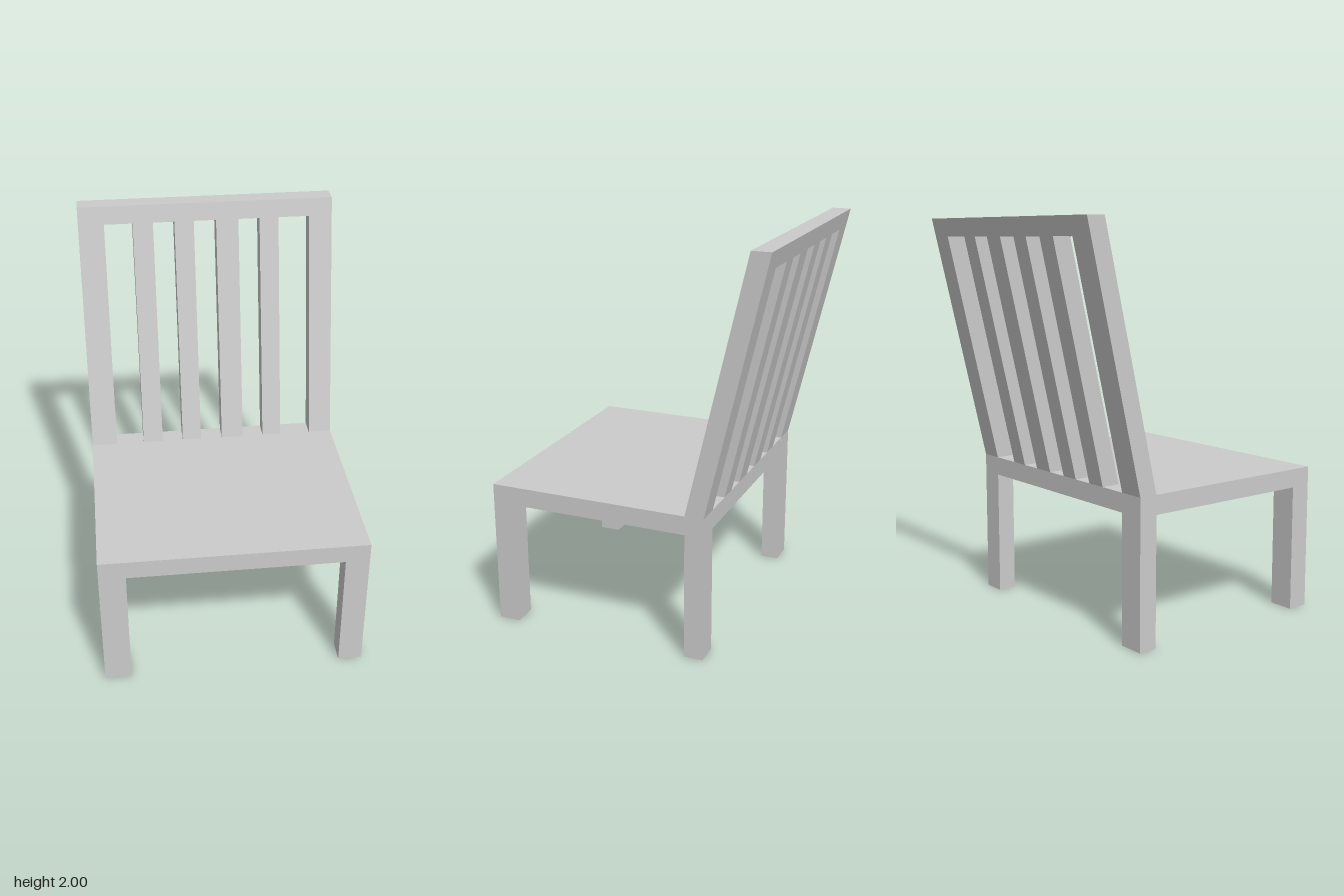
import * as THREE from 'three';

const material = new THREE.MeshStandardMaterial({ color: 0xcccccc, flatShading: true });

const LEFT = 0.66, RIGHT = -0.663;     // side limits in x
const FRONT = 0.71, BACK = -0.41;      // seat limits in z
const SEAT_BOTTOM = 0.645, SEAT_TOP = 0.74;
const RAIL_BOTTOM = 1.91, TOP = 2;
const BACK_FRONT = -0.315;             // front face of the back legs and backrest
const LEAN = 0.295 / (TOP - SEAT_TOP); // backward shift per unit of height

// Box given by its limits on each axis
function box(name, [x0, x1], [y0, y1], [z0, z1]) {
  const geometry = new THREE.BoxGeometry(x1 - x0, y1 - y0, z1 - z0);
  geometry.translate((x0 + x1) / 2, (y0 + y1) / 2, (z0 + z1) / 2);
  const mesh = new THREE.Mesh(geometry, material);
  mesh.name = name;
  return mesh;
}

// Comb-shaped outline: posts and slats hanging from the top rail, sheared backward
function backrest() {
  const gaps = [[-0.53, -0.383], [-0.278, -0.167], [-0.066, 0.05], [0.167, 0.278], [0.378, 0.54]];
  const outline = [[LEFT, TOP], [RIGHT, TOP], [RIGHT, SEAT_TOP]];
  for (const [a, b] of gaps) {
    outline.push([a, SEAT_TOP], [a, RAIL_BOTTOM], [b, RAIL_BOTTOM], [b, SEAT_TOP]);
  }
  outline.push([LEFT, SEAT_TOP]);
  const shape = new THREE.Shape(outline.map(([x, y]) => new THREE.Vector2(x, y)));
  const geometry = new THREE.ExtrudeGeometry(shape, { depth: BACK_FRONT - BACK, bevelEnabled: false });
  geometry.translate(0, 0, BACK);
  const p = geometry.attributes.position;
  for (let i = 0; i < p.count; i++) p.setZ(i, p.getZ(i) - (p.getY(i) - SEAT_TOP) * LEAN);
  geometry.computeVertexNormals();
  const mesh = new THREE.Mesh(geometry, material);
  mesh.name = 'backrest';
  return mesh;
}

export function createModel() {
  const chair = new THREE.Group();
  chair.name = 'chair';

  chair.add(box('seat', [RIGHT, LEFT], [SEAT_BOTTOM, SEAT_TOP], [BACK, FRONT]));

  // Four square legs at the seat corners
  for (const [side, xs] of [['Left', [0.54, LEFT]], ['Right', [RIGHT, -0.53]]]) {
    chair.add(box(`front${side}Leg`, xs, [0, SEAT_BOTTOM], [0.6, FRONT]));
    chair.add(box(`back${side}Leg`, xs, [0, SEAT_BOTTOM], [BACK, BACK_FRONT]));
  }

  chair.add(backrest());
  return chair;
}
